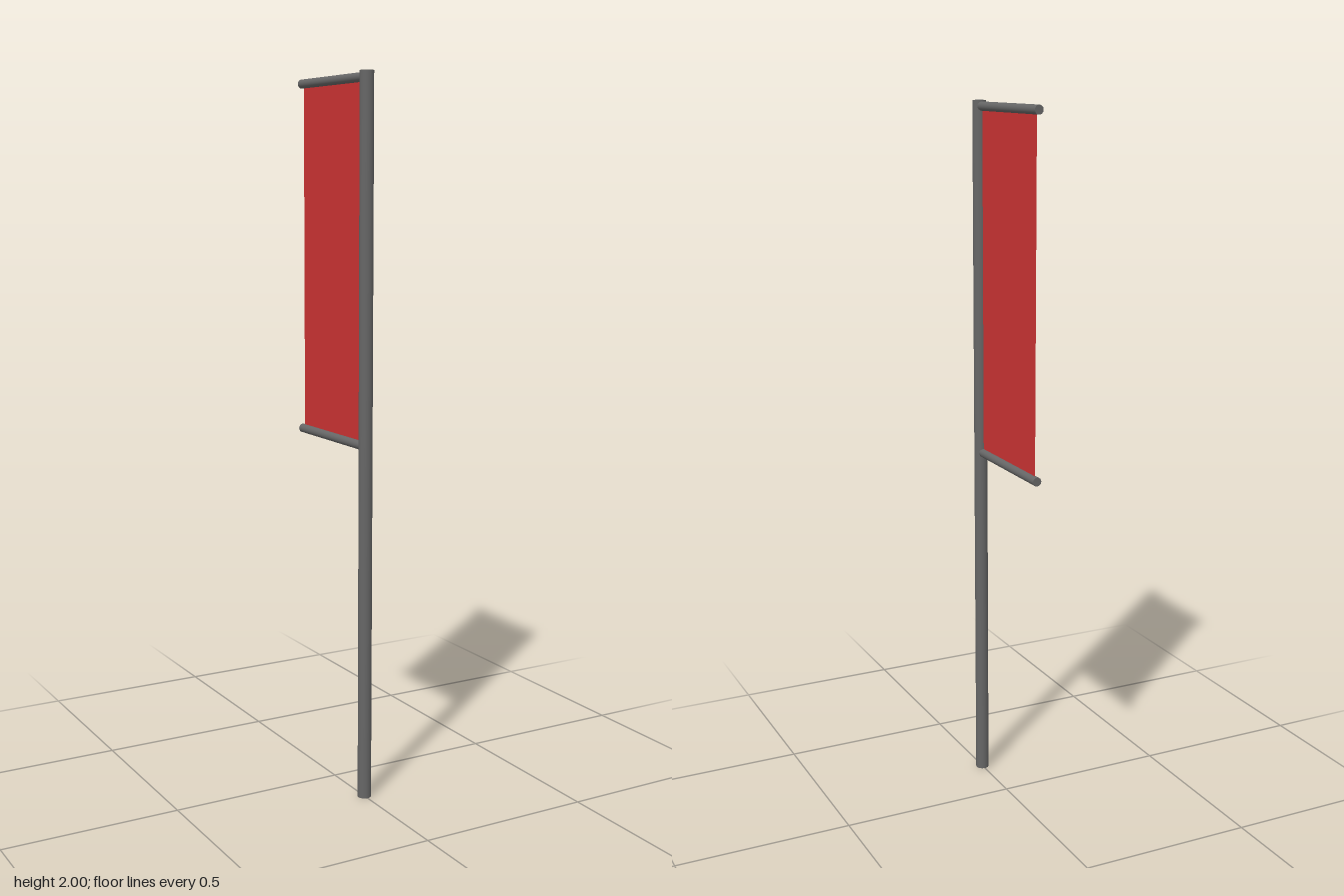
import * as THREE from 'three';

export function createModel() {
  const group = new THREE.Group();
  const metal = new THREE.MeshStandardMaterial({ color: 0x666666 });
  const cloth = new THREE.MeshStandardMaterial({ color: 0xcc3333, side: THREE.DoubleSide });

  const poleZ = 0.17, poleRadius = 0.019;
  const armRadius = 0.0125, armEnd = -0.19;
  const armHeights = { lowerArm: 1.005, upperArm: 1.984 };

  function add(name, geometry, material, y, z) {
    const mesh = new THREE.Mesh(geometry, material);
    mesh.name = name;
    mesh.position.set(0, y, z);
    group.add(mesh);
  }

  // Upright pole
  add('pole', new THREE.CylinderGeometry(poleRadius, poleRadius, 2, 32), metal, 1, poleZ);

  // Horizontal arms reaching back from the pole
  const armLength = poleZ - armEnd;
  for (const [name, y] of Object.entries(armHeights)) {
    const arm = new THREE.CylinderGeometry(armRadius, armRadius, armLength, 32).rotateX(Math.PI / 2);
    add(name, arm, metal, y, (poleZ + armEnd) / 2);
  }

  // Flat cloth stretched between the arms
  const clothFront = 0.15, clothBack = -0.177;
  const clothHeight = armHeights.upperArm - armHeights.lowerArm;
  const banner = new THREE.PlaneGeometry(clothFront - clothBack, clothHeight).rotateY(Math.PI / 2);
  add('banner', banner, cloth, armHeights.lowerArm + clothHeight / 2, (clothFront + clothBack) / 2);

  return group;
}
